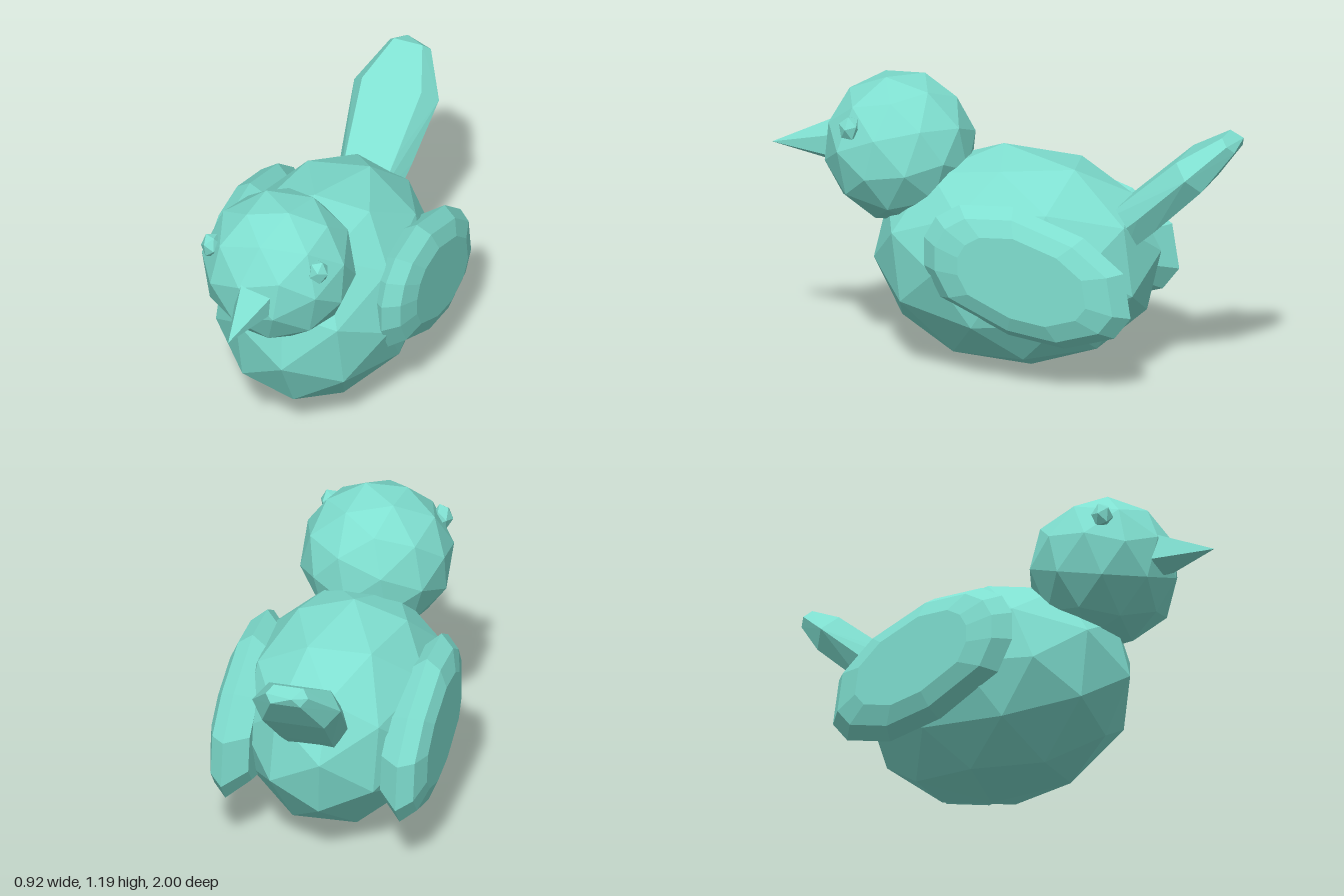
import * as THREE from 'three';
import { ConvexGeometry } from 'three/addons/geometries/ConvexGeometry.js';

const material = new THREE.MeshStandardMaterial({ color: 0x7fdfd0, flatShading: true });

function part(name, geometry) {
  const mesh = new THREE.Mesh(geometry, material);
  mesh.name = name;
  return mesh;
}

// Faceted ellipsoid: a unit icosphere turned a little, then stretched and placed
function blob(name, detail, radii, centre, turn = [0, 0, 0]) {
  const g = new THREE.IcosahedronGeometry(1, detail);
  g.applyMatrix4(new THREE.Matrix4().makeRotationFromEuler(new THREE.Euler(...turn)));
  g.scale(...radii).translate(...centre);
  return part(name, g);
}

// Faceted solid wrapped around a set of points
function hull(name, points) {
  return part(name, new ConvexGeometry(points.map((p) => new THREE.Vector3(...p))));
}

// Wing: one side outline [z, y] repeated as inset layers from the body outwards
function wing(side) {
  const outline = [
    [0.25, 0.62], [0.2, 0.71], [0.1, 0.77], [-0.13, 0.78], [-0.43, 0.67], [-0.6, 0.53],
    [-0.63, 0.34], [-0.56, 0.25], [-0.35, 0.19], [-0.11, 0.23], [0.18, 0.37], [0.25, 0.5],
  ];
  const layers = [[0.28, 0.78], [0.37, 1], [0.43, 0.86], [0.46, 0.62]]; // x, scale
  const cz = -0.19, cy = 0.49;
  const points = [];
  for (const [x, s] of layers)
    for (const [z, y] of outline) points.push([side * x, cy + (y - cy) * s, cz + (z - cz) * s]);
  return hull(side > 0 ? 'leftWing' : 'rightWing', points);
}

// Tail: flattened hexagonal sections along a rising line
function tail() {
  const sections = [ // z, y, half width, half thickness
    [-0.47, 0.59, 0.13, 0.085], [-0.6, 0.7, 0.155, 0.085],
    [-0.81, 0.89, 0.188, 0.08], [-0.96, 1.02, 0.09, 0.04],
  ];
  const points = [[-0.03, 1.03, -1]];
  for (const [z, y, w, t] of sections)
    for (const s of [-1, 1]) {
      points.push([s * w, y, z]);
      for (const u of [-1, 1]) points.push([s * w * 0.7, y + u * t * 0.75, z + u * t * 0.66]);
    }
  return hull('tail', points);
}

export function createModel() {
  const bird = new THREE.Group();
  bird.name = 'bird';

  bird.add(blob('body', 1, [0.425, 0.465, 0.605], [0, 0.465, -0.045], [0.1, 0.12, 0.05]));
  bird.add(blob('head', 1, [0.32, 0.315, 0.315], [0, 0.888, 0.455], [0.2, 0.3, -0.2]));

  // Beak: five-sided spike
  bird.add(hull('beak', [
    [0, 0.86, 1], [-0.045, 0.97, 0.75], [0.08, 0.93, 0.74],
    [0.08, 0.845, 0.74], [0, 0.805, 0.75], [-0.08, 0.85, 0.74],
  ]));

  bird.add(tail());

  for (const side of [1, -1]) {
    bird.add(wing(side));
    bird.add(blob(side > 0 ? 'leftEye' : 'rightEye', 0, [0.044, 0.057, 0.046],
      [side * 0.238, 1.018, 0.605], [0.2, 0.4 * side, 0.1]));
  }
  return bird;
}
